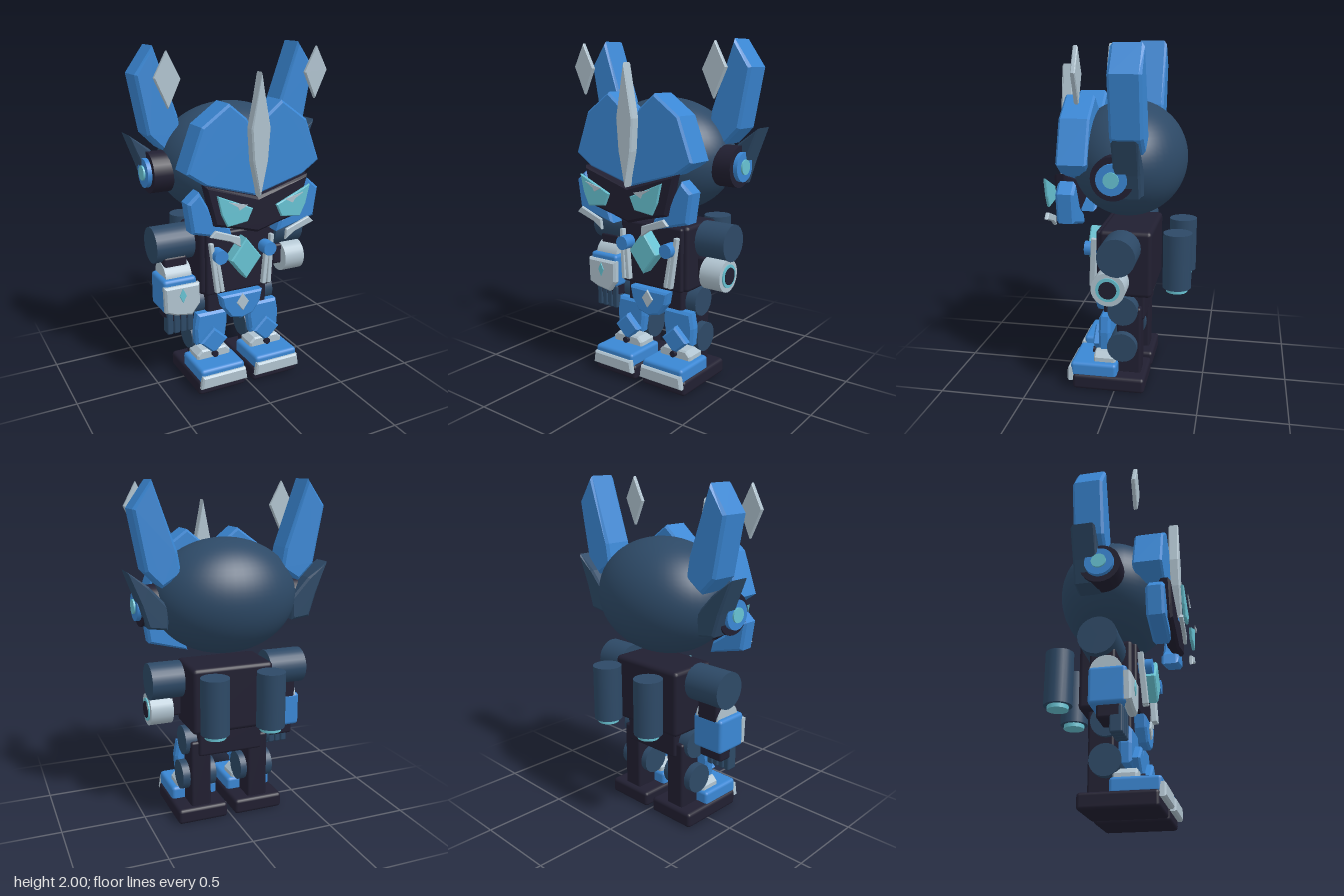
import * as THREE from 'three';
import { RoundedBoxGeometry } from 'three/addons/geometries/RoundedBoxGeometry.js';

const mat = (name, color) => {
  const m = new THREE.MeshStandardMaterial({ color });
  m.name = name;
  return m;
};

export function createModel() {
  const root = new THREE.Group();
  root.name = 'robot';
  const blue = mat('blue armour', 0x3a87d4);
  const navy = mat('navy joints', 0x2d4966);
  const dark = mat('dark frame', 0x211f31);
  const silver = mat('silver trim', 0xb0c3cf);
  const cyan = mat('cyan glow', 0x67c2d2);

  const add = (name, geo, m) => {
    const mesh = new THREE.Mesh(geo, m);
    mesh.name = name;
    root.add(mesh);
    return mesh;
  };
  // Bevelled plate from a front outline, between two depths
  const plate = (name, pts, z0, z1, m, b = 0.015) => {
    const shape = new THREE.Shape(pts.map(([x, y]) => new THREE.Vector2(x, y)));
    const geo = new THREE.ExtrudeGeometry(shape, {
      depth: z1 - z0 - 2 * b, bevelEnabled: b > 0, bevelThickness: b,
      bevelSize: b, bevelOffset: -b, bevelSegments: 1,
    });
    geo.translate(0, 0, z0 + b);
    return add(name, geo, m);
  };
  // Rounded box given by its limits
  const box = (name, x0, x1, y0, y1, z0, z1, m, r = 0.015) =>
    add(name, new RoundedBoxGeometry(x1 - x0, y1 - y0, z1 - z0, 2, r), m)
      .position.set((x0 + x1) / 2, (y0 + y1) / 2, (z0 + z1) / 2);
  // Cylinder lying along x
  const barrel = (name, x0, x1, y, z, r, m, seg = 24) => {
    const geo = new THREE.CylinderGeometry(r, r, Math.abs(x1 - x0), seg).rotateZ(Math.PI / 2);
    add(name, geo, m).position.set((x0 + x1) / 2, y, z);
  };
  const flip = (pts, s) => pts.map(([x, y]) => [x * s, y]);
  const both = (pts) => [...pts, ...flip(pts, -1).reverse().filter(([x]) => x !== 0)];
  const diamond = (x, y, w, h) => [[x, y + h], [x + w, y], [x, y - h], [x - w, y]];

  // Head shell
  const skull = add('skull', new THREE.SphereGeometry(1, 48, 32), navy);
  skull.scale.set(0.43, 0.335, 0.335);
  skull.position.set(0, 1.345, -0.04);

  // Face: visor and crest
  plate('visor', both([[0, 1.2], [0.32, 1.295], [0.265, 1.065], [0.12, 1.03], [0, 0.995]]), 0.265, 0.335, dark);
  plate('crest', both([[0, 1.875], [0.058, 1.58], [0.045, 1.4], [0, 1.2]]), 0.295, 0.358, silver, 0.008);

  for (const s of [1, -1]) {
    const p = (name, pts, ...rest) => plate(name, flip(pts, s), ...rest);
    const b = (name, x0, x1, ...rest) => box(name, Math.min(x0 * s, x1 * s), Math.max(x0 * s, x1 * s), ...rest);
    const c = (name, x0, x1, ...rest) => barrel(name, x0 * s, x1 * s, ...rest);

    // Helmet
    p('browPlate', [[0, 1.53], [0.055, 1.63], [0.16, 1.715], [0.32, 1.6], [0.41, 1.36], [0.3, 1.285], [0, 1.2]],
      0.13, 0.302, blue, 0.012);
    p('cheekGuard', [[0.34, 1.26], [0.41, 1.2], [0.385, 1.03], [0.14, 0.968], [0.16, 1.04], [0.25, 1.1]],
      0.203, 0.307, blue);
    p('horn', [[0.455, 2], [0.562, 1.85], [0.5, 1.52], [0.41, 1.43], [0.3, 1.5], [0.32, 1.62]],
      -0.19, -0.012, blue);
    p('hornInlay', [[0.455, 1.985], [0.527, 1.85], [0.452, 1.69], [0.38, 1.84]], 0.152, 0.178, silver, 0.005);
    p('earFin', [[0.6, 1.528], [0.48, 1.44], [0.37, 1.32], [0.38, 1.195], [0.49, 1.21], [0.53, 1.34]],
      -0.18, -0.04, navy, 0.012);
    c('earPod', 0.39, 0.508, 1.315, -0.03, 0.117, dark);
    c('earRing', 0.5, 0.533, 1.315, -0.03, 0.083, blue);
    c('earLight', 0.53, 0.543, 1.315, -0.03, 0.042, cyan);

    // Eyes and whiskers
    p('eye', [[0.285, 1.258], [0.072, 1.165], [0.105, 1.095], [0.225, 1.08], [0.26, 1.15]], 0.388, 0.407, cyan, 0.005);
    p('pupil', [[0.23, 1.222], [0.115, 1.195], [0.165, 1.17], [0.175, 1.19]], 0.419, 0.425, silver, 0);
    p('whisker', [[0.29, 1.065], [0.145, 1.01], [0.14, 0.95], [0.2, 0.99], [0.323, 1.032]], 0.375, 0.397, silver, 0.005);

    // Chest fittings
    for (const [xt, yt, xb] of [[0.2, 0.9, 0.17], [0.165, 0.8, 0.138]]) {
      const rail = add('chestRail', new RoundedBoxGeometry(0.026, yt - 0.595, 0.035, 1, 0.006), silver);
      rail.position.set(s * (xt + xb) / 2, (yt + 0.595) / 2, 0.148);
      rail.rotation.set(-0.07, 0, -s * Math.atan2(xt - xb, yt - 0.6));
    }
    const lamp = add('chestLamp', new THREE.CylinderGeometry(0.042, 0.042, 0.08, 20).rotateX(Math.PI / 2), blue);
    lamp.position.set(s * 0.16, 0.825, 0.16);

    // Back thrusters
    add('thruster', new THREE.CylinderGeometry(0.083, 0.083, 0.325, 24), navy).position.set(s * 0.17, 0.785, -0.343);
    add('thrusterGlow', new THREE.CylinderGeometry(0.062, 0.062, 0.03, 24), cyan).position.set(s * 0.17, 0.613, -0.343);

    // Legs
    c('hipJoint', 0.1, 0.27, 0.485, -0.04, 0.088, navy);
    c('kneeJoint', 0.08, 0.29, 0.265, -0.04, 0.088, navy);
    b('leg', 0.12, 0.245, 0.08, 0.5, -0.145, 0.0, dark);
    p('thighGuard', [[0.075, 0.445], [0.27, 0.445], [0.287, 0.35], [0.28, 0.245], [0.09, 0.245], [0.075, 0.35]],
      0.03, 0.1, blue);
    p('kneeGuard', diamond(0.18, 0.272, 0.09, 0.085), 0.09, 0.14, blue, 0.01);
    add('ankleStud', new THREE.CylinderGeometry(0.019, 0.019, 0.03, 16).rotateX(Math.PI / 2), dark)
      .position.set(s * 0.18, 0.19, 0.137);
    p('shinGuard', [[0.07, 0.14], [0.07, 0.19], [0.1, 0.22], [0.26, 0.22], [0.29, 0.19], [0.29, 0.14]],
      0.0, 0.13, silver, 0.01);

    // Feet
    b('sole', 0.025, 0.335, 0, 0.092, -0.178, 0.25, dark, 0.02);
    b('footArmour', 0.038, 0.325, 0.075, 0.165, -0.012, 0.262, blue, 0.02);
    p('toeCap', [[0.028, 0.052], [0.04, 0.13], [0.32, 0.13], [0.332, 0.052]], 0.24, 0.282, silver, 0.01);
  }

  // Torso and waist
  box('torso', -0.25, 0.25, 0.565, 0.96, -0.205, 0.1, dark, 0.025);
  box('chestPanel', -0.222, 0.222, 0.565, 0.95, 0.05, 0.122, dark);
  box('waist', -0.2, 0.2, 0.41, 0.58, -0.16, 0.085, dark);
  plate('chestGem', diamond(0, 0.793, 0.1, 0.127), 0.11, 0.203, cyan, 0.008);
  plate('beltPlate', both([[0, 0.555], [0.14, 0.555], [0.125, 0.48], [0.075, 0.41], [0, 0.39]]), 0.08, 0.153, blue, 0.012);
  plate('beltInlay', diamond(0, 0.5, 0.04, 0.055), 0.15, 0.163, silver, 0.003);

  // Left arm: cannon pointing outwards
  barrel('leftShoulder', 0.275, 0.467, 0.872, -0.04, 0.108, navy);
  box('leftArmLink', 0.275, 0.35, 0.65, 0.78, -0.06, 0.04, dark);
  barrel('cannon', 0.33, 0.465, 0.69, 0.005, 0.096, silver);
  barrel('cannonRing', 0.46, 0.472, 0.69, 0.005, 0.068, cyan);
  barrel('cannonBore', 0.46, 0.477, 0.69, 0.005, 0.05, dark);

  // Right arm: armoured forearm and hand
  barrel('rightShoulder', -0.5, -0.265, 0.88, -0.04, 0.108, navy);
  box('rightUpperArm', -0.455, -0.31, 0.68, 0.82, -0.09, 0.05, dark);
  barrel('wristCap', -0.46, -0.3, 0.69, 0.0, 0.088, silver);
  box('forearm', -0.487, -0.28, 0.5, 0.705, -0.09, 0.115, blue, 0.02);
  plate('handPlate', [[-0.49, 0.67], [-0.27, 0.67], [-0.27, 0.54], [-0.32, 0.475], [-0.42, 0.49], [-0.485, 0.515]],
    0.09, 0.14, silver, 0.012);
  plate('handGem', diamond(-0.38, 0.61, 0.022, 0.045), 0.136, 0.145, cyan, 0.002);
  box('palm', -0.46, -0.295, 0.43, 0.52, -0.05, 0.085, dark);
  for (let i = 0; i < 4; i++) {
    const x = -0.46 + i * 0.042;
    box('finger', x, x + 0.038, 0.352, 0.5, 0.02, 0.09, navy, 0.01);
  }
  return root;
}
